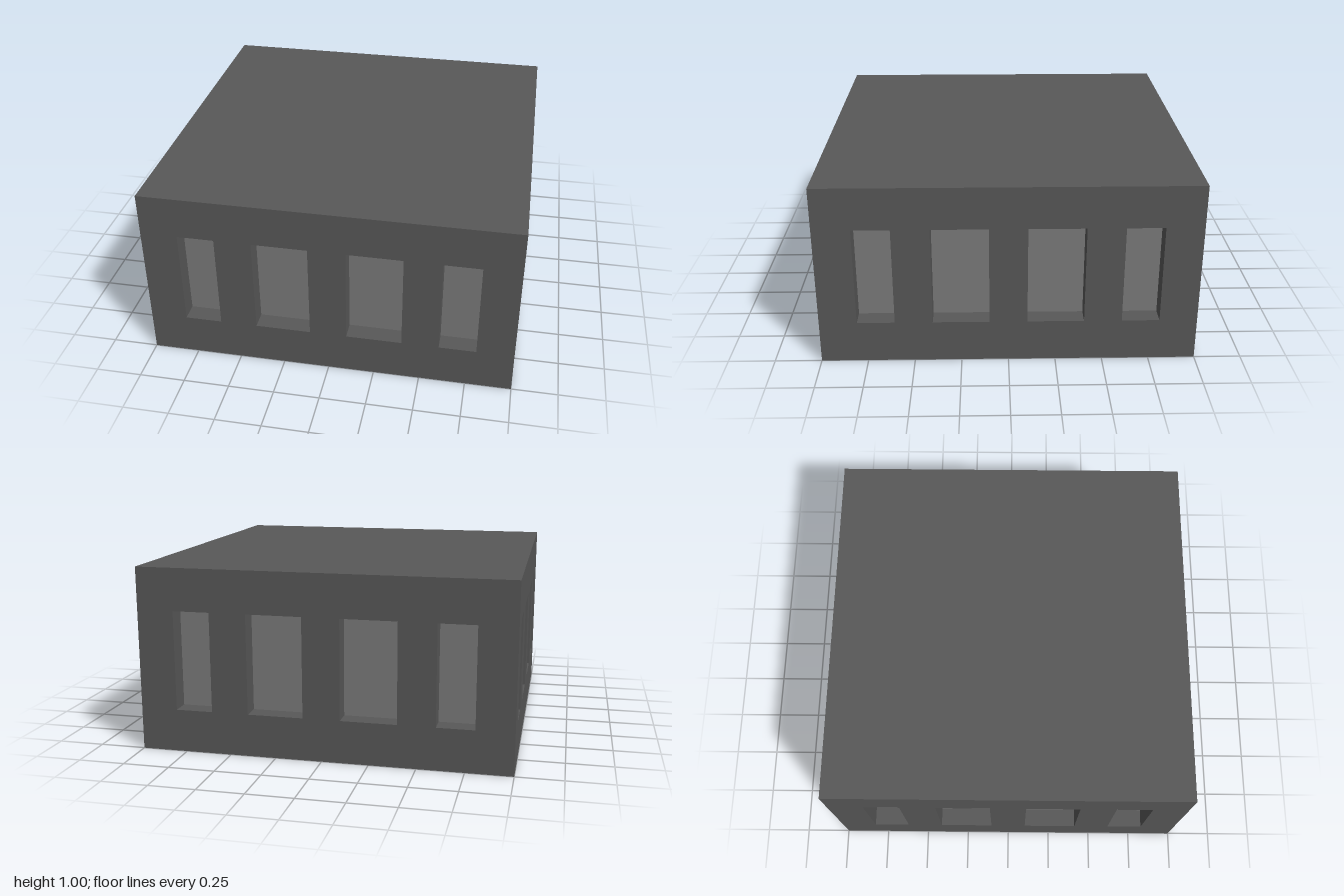
import * as THREE from 'three';

const HALF = 1, HEIGHT = 1, DEPTH = 0.1;
const SILL = 0.23, LINTEL = 0.77;
const OPENINGS = [[-0.8, -0.6], [-0.4, -0.1], [0.1, 0.4], [0.6, 0.8]];

// Wall slab with window openings, its outer rim mitred to meet its neighbours
function wallGeometry() {
  const shape = new THREE.Shape([
    new THREE.Vector2(-HALF, 0), new THREE.Vector2(HALF, 0),
    new THREE.Vector2(HALF, HEIGHT), new THREE.Vector2(-HALF, HEIGHT),
  ]);
  for (const [a, b] of OPENINGS) {
    shape.holes.push(new THREE.Path([
      new THREE.Vector2(a, SILL), new THREE.Vector2(a, LINTEL),
      new THREE.Vector2(b, LINTEL), new THREE.Vector2(b, SILL),
    ]));
  }
  const geometry = new THREE.ExtrudeGeometry(shape, { depth: DEPTH, bevelEnabled: false });
  geometry.translate(0, 0, HALF - DEPTH);
  const p = geometry.attributes.position;
  for (let i = 0; i < p.count; i++) {
    if (p.getZ(i) > HALF - DEPTH / 2) continue;
    p.setX(i, THREE.MathUtils.clamp(p.getX(i), -HALF + DEPTH, HALF - DEPTH));
    p.setY(i, THREE.MathUtils.clamp(p.getY(i), DEPTH, HEIGHT - DEPTH));
  }
  geometry.computeVertexNormals();
  return geometry;
}

export function createModel() {
  const model = new THREE.Group();
  model.name = 'building';
  const wallGrey = new THREE.MeshStandardMaterial({ color: 0x585858 });
  wallGrey.name = 'wallGrey';
  const windowGrey = new THREE.MeshStandardMaterial({ color: 0x7b7b7b });
  windowGrey.name = 'windowGrey';

  const add = (parent, name, geometry, material) => {
    const mesh = new THREE.Mesh(geometry, material);
    mesh.name = name;
    parent.add(mesh);
    return mesh;
  };

  // Four identical sides, each with recessed window panes
  const wall = wallGeometry();
  ['front', 'left', 'back', 'right'].forEach((name, i) => {
    const side = new THREE.Group();
    side.name = name + 'Side';
    side.rotation.y = i * Math.PI / 2;
    add(side, name + 'Wall', wall, wallGrey);
    OPENINGS.forEach(([a, b], k) => {
      const pane = add(side, `${name}Window${k + 1}`, new THREE.PlaneGeometry(b - a, LINTEL - SILL), windowGrey);
      pane.position.set((a + b) / 2, (SILL + LINTEL) / 2, HALF - DEPTH);
    });
    model.add(side);
  });

  // Flat roof and floor close the shell
  const slab = new THREE.PlaneGeometry(2 * HALF, 2 * HALF);
  const roof = add(model, 'roof', slab, wallGrey);
  roof.rotation.x = -Math.PI / 2;
  roof.position.y = HEIGHT;
  add(model, 'floor', slab, wallGrey).rotation.x = Math.PI / 2;

  return model;
}
